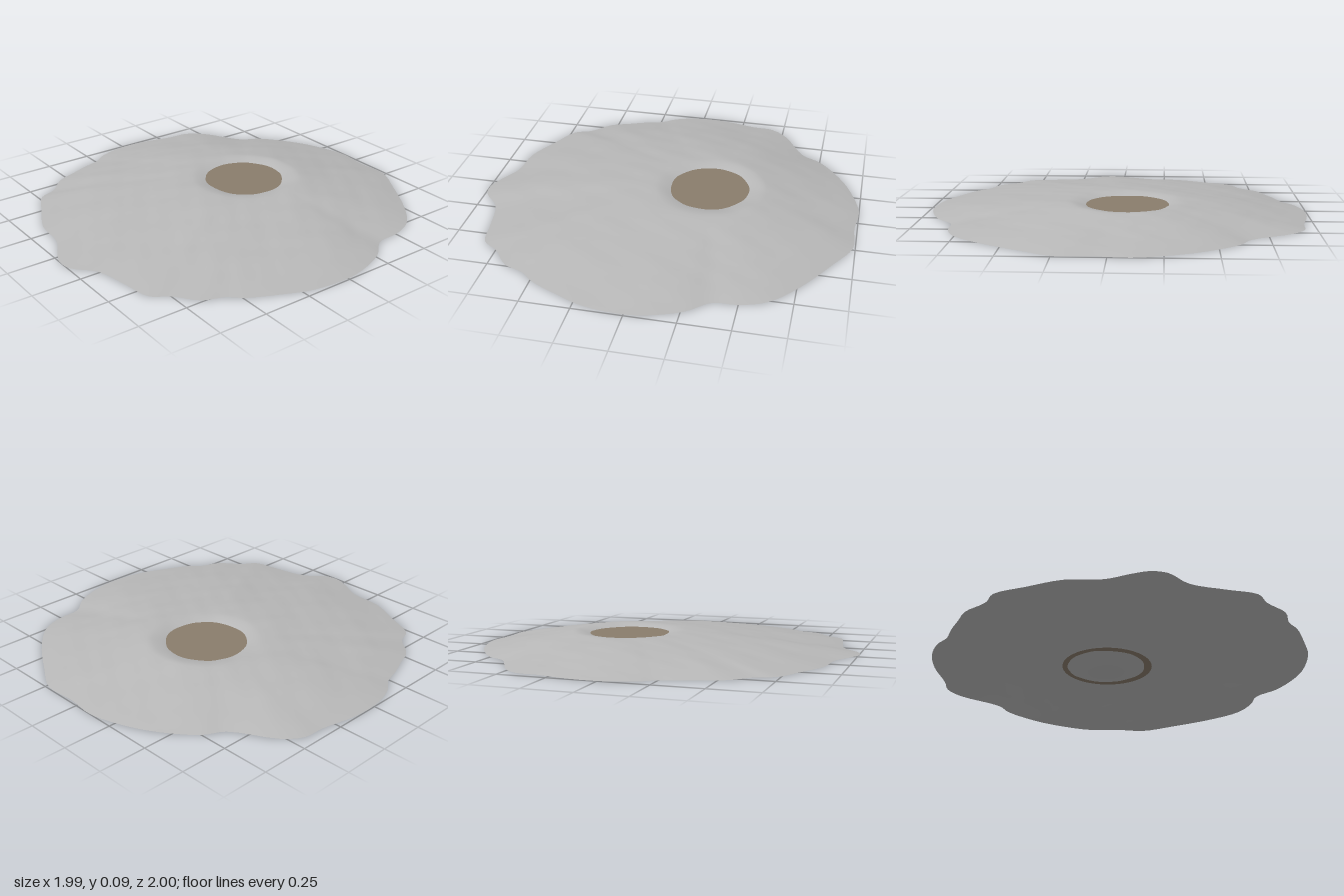
import * as THREE from 'three';

// Crater centre, rim radius, pool radius and pool level
const CX = -0.055, CZ = -0.205, RIM = 0.29, POOL = 0.248, LEVEL = 0.075;

// Ragged outer shoreline as x, z pairs
const OUTLINE = [
  -0.1, -1, 0.06, -0.985, 0.23, -0.99, 0.4, -0.9, 0.62, -0.76, 0.76, -0.63, 0.81, -0.5, 0.82, -0.38,
  0.91, -0.27, 0.97, -0.12, 0.99, 0, 0.97, 0.2, 0.91, 0.35, 0.84, 0.49, 0.78, 0.56, 0.74, 0.66,
  0.63, 0.75, 0.57, 0.83, 0.42, 0.86, 0.24, 0.9, 0.13, 0.99, 0.05, 1, -0.03, 0.97, -0.15, 0.91,
  -0.33, 0.89, -0.5, 0.81, -0.65, 0.73, -0.69, 0.64, -0.79, 0.54, -0.83, 0.44, -0.87, 0.34,
  -0.9, 0.24, -0.95, 0.17, -0.99, 0.04, -0.99, -0.13, -0.95, -0.32, -0.94, -0.43, -0.87, -0.52,
  -0.66, -0.65, -0.6, -0.75, -0.4, -0.9, -0.2, -0.98,
];

// Gentle lumps over the ground
const bumps = (x, z) =>
  0.0018 * Math.sin(9 * x + 3 * z + 1) + 0.0016 * Math.sin(11 * z - 5 * x)
  + 0.0012 * Math.sin(21 * x + 2) * Math.sin(19 * z + 1)
  + 0.0008 * Math.sin(37 * x - 14 * z) * Math.sin(33 * z + 9 * x);

// Hanging bowl inside the rim
function bowlHeight(r) {
  const t = r / RIM;
  return 0.035 + 0.054 * THREE.MathUtils.smoothstep(t, 0.15, 1.02);
}

// Open sheet of ground made of rings running from the crater centre to the shore
function groundGeometry() {
  const points = [];
  for (let i = 0; i < OUTLINE.length; i += 2) points.push(new THREE.Vector3(OUTLINE[i], 0, OUTLINE[i + 1]));
  const shore = new THREE.CatmullRomCurve3(points, true, 'centripetal');
  const sides = 168, inner = 16, outer = 32;
  const pos = [], index = [];
  for (let k = 0; k <= inner + outer; k++) {
    for (let i = 0; i < sides; i++) {
      const edge = shore.getPoint(i / sides);
      const angle = Math.atan2(edge.z - CZ, edge.x - CX);
      const rx = CX + RIM * Math.cos(angle), rz = CZ + RIM * Math.sin(angle);
      if (k <= inner) {
        const t = k / inner, r = RIM * t;
        const x = CX + r * Math.cos(angle), z = CZ + r * Math.sin(angle);
        pos.push(x, bowlHeight(r) + bumps(x, z) * t, z);
      } else {
        const s = (k - inner) / outer;
        const x = rx + (edge.x - rx) * s, z = rz + (edge.z - rz) * s;
        const power = 1.3 + 0.2 * Math.sin(angle);
        const y = 0.089 * (1 - Math.pow(s, power)) + bumps(x, z) * Math.min(1, (1 - s) * 4);
        pos.push(x, Math.max(0, y), z);
      }
    }
  }
  for (let k = 0; k < inner + outer; k++) {
    for (let i = 0; i < sides; i++) {
      const j = (i + 1) % sides;
      const a = k * sides + i, b = k * sides + j, c = a + sides, d = b + sides;
      if (k > 0) index.push(a, b, c);
      index.push(b, d, c);
    }
  }
  const geometry = new THREE.BufferGeometry();
  geometry.setAttribute('position', new THREE.Float32BufferAttribute(pos, 3));
  geometry.setIndex(index);
  geometry.computeVertexNormals();
  return geometry;
}

export function createModel() {
  const model = new THREE.Group();
  model.name = 'craterMound';
  const stone = new THREE.MeshStandardMaterial({ name: 'grey stone', color: 0xb8b8b8, side: THREE.DoubleSide });
  const mud = new THREE.MeshStandardMaterial({ name: 'brown mud', color: 0x8a7d6c, side: THREE.DoubleSide });

  const ground = new THREE.Mesh(groundGeometry(), stone);
  ground.name = 'ground';

  // Flat pool whose edge is buried in the crater wall
  const pool = new THREE.Mesh(new THREE.CircleGeometry(POOL, 48).rotateX(-Math.PI / 2), mud);
  pool.name = 'mudPool';
  pool.position.set(CX, LEVEL, CZ);

  model.add(ground, pool);
  return model;
}
